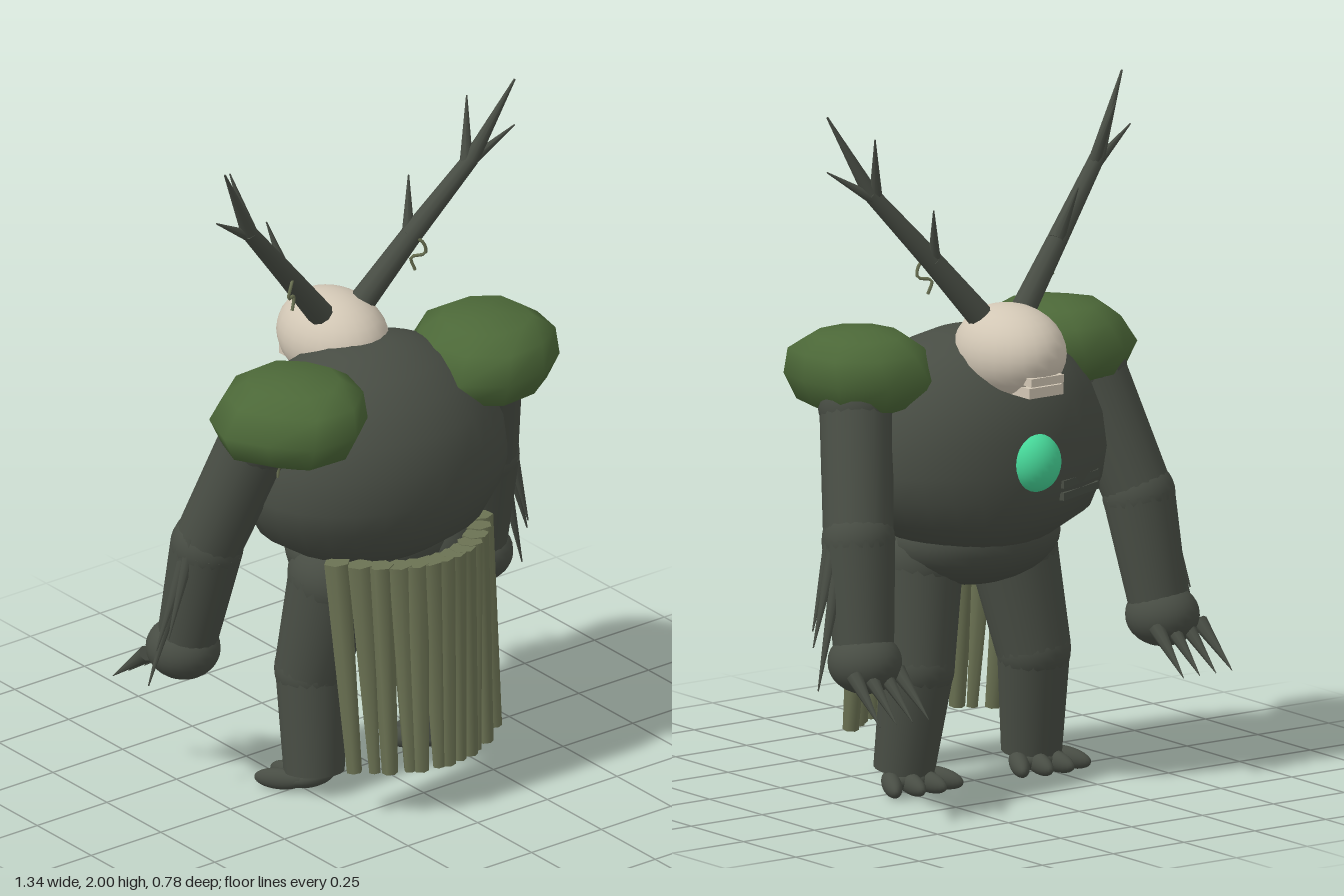
import * as THREE from 'three';

const mat = (name, color) => {
  const m = new THREE.MeshStandardMaterial({ color });
  m.name = name;
  return m;
};
const V = (p) => new THREE.Vector3(...p);

// Stacked elliptical rings [y, rx, rz, cx, cz], closed at both ends
function loft(rings, n, outline = () => 1) {
  const pos = [], idx = [];
  for (const [y, rx, rz, cx = 0, cz = 0] of rings) {
    for (let j = 0; j < n; j++) {
      const a = (j / n) * Math.PI * 2, w = outline(j);
      pos.push(cx + Math.cos(a) * rx * w, y, cz + Math.sin(a) * rz * w);
    }
  }
  const last = rings.length - 1, bottom = rings.length * n, top = bottom + 1;
  for (const r of [rings[0], rings[last]]) pos.push(r[3] || 0, r[0], r[4] || 0);
  for (let j = 0; j < n; j++) {
    const k = (j + 1) % n;
    for (let i = 0; i < last; i++) {
      const a = i * n + j, b = i * n + k;
      idx.push(a, a + n, b, b, a + n, b + n);
    }
    idx.push(bottom, j, k, top, last * n + k, last * n + j);
  }
  const g = new THREE.BufferGeometry();
  g.setAttribute('position', new THREE.Float32BufferAttribute(pos, 3));
  g.setIndex(idx);
  g.computeVertexNormals();
  return g;
}

export function createModel() {
  const model = new THREE.Group();
  model.name = 'antleredCreature';
  const hide = mat('darkHide', 0x484d44);
  const moss = mat('mossGreen', 0x4c6838);
  const strand = mat('driedMoss', 0x6b7253);
  const bone = mat('bone', 0xd2c7b5);
  const glow = mat('greenGem', 0x46d698);

  const add = (name, geo, material, parent = model) => {
    const m = new THREE.Mesh(geo, material);
    m.name = name;
    parent.add(m);
    return m;
  };
  const ball = (name, c, r, material, parent) => {
    const m = add(name, new THREE.SphereGeometry(1, 24, 16), material, parent);
    m.position.set(...c);
    m.scale.set(...r);
    return m;
  };
  // Tapered round bar from a to b
  const bar = (name, a, b, ra, rb, material, parent, sides = 18) => {
    const d = V(b).sub(V(a));
    const m = add(name, new THREE.CylinderGeometry(rb, ra, d.length(), sides), material, parent);
    m.position.copy(V(a)).addScaledVector(d, 0.5);
    m.quaternion.setFromUnitVectors(new THREE.Vector3(0, 1, 0), d.normalize());
    return m;
  };

  // Barrel torso and hips
  add('torso', loft([
    [0.67, 0.13, 0.12, 0, -0.01], [0.74, 0.26, 0.21], [0.80, 0.35, 0.29],
    [0.88, 0.4, 0.313, 0, 0.01], [0.95, 0.415, 0.325, 0, 0.015], [1.05, 0.4, 0.32, 0, 0.015],
    [1.14, 0.36, 0.295, 0, 0.01], [1.22, 0.3, 0.245, 0, 0.005], [1.28, 0.215, 0.18, 0, 0],
    [1.315, 0.13, 0.1, 0, 0], [1.325, 0.06, 0.05, 0, 0],
  ], 28), hide);
  ball('hips', [0, 0.72, 0], [0.27, 0.14, 0.19], hide);

  // Chest gem and ridges on one side
  ball('chestGem', [0, 0.98, -0.29], [0.078, 0.085, 0.068], glow);
  for (const y of [0.87, 0.905]) {
    const ridge = add('chestRidge', new THREE.BoxGeometry(0.19, 0.022, 0.04), hide);
    ridge.position.set(-0.17, y, -0.253);
    ridge.rotation.y = 0.38;
  }

  // Skull and jaws
  ball('skull', [0, 1.285, -0.17], [0.145, 0.135, 0.187], bone);
  [[1.227, 0.115, 0.024, -0.3], [1.195, 0.12, 0.03, -0.293]].forEach(([y, w, h, z]) => {
    const jaw = add('jaw', new THREE.BoxGeometry(w, h, 0.1), bone);
    jaw.position.set(0, y, z);
  });

  for (const s of [-1, 1]) {
    const m = ([x, y, z]) => [s * x, y, z];
    const side = s > 0 ? 'left' : 'right';
    const group = (name) => {
      const g = new THREE.Group();
      g.name = side + name;
      model.add(g);
      return g;
    };

    // Antler: main beam, tines and a hanging tendril
    const antler = group('Antler');
    const beam = [[0.075, 1.385, -0.13], [0.22, 1.56, -0.095], [0.4, 1.77, -0.045], [0.52, 2.0, 0]];
    const radii = [0.038, 0.031, 0.023, 0.003];
    for (let i = 0; i < 3; i++) {
      bar('antlerBeam', m(beam[i]), m(beam[i + 1]), radii[i], radii[i + 1], hide, antler, 10);
    }
    [
      [[0.37, 1.74, -0.055], [0.535, 1.845, -0.02], 0.02],
      [[0.385, 1.76, -0.05], [0.425, 1.94, -0.1], 0.019],
      [[0.215, 1.55, -0.1], [0.255, 1.72, -0.15], 0.02],
    ].forEach(([a, b, r]) => bar('tine', m(a), m(b), r, 0.002, hide, antler, 8));
    const curl = new THREE.CatmullRomCurve3([
      [0.2, 1.57, -0.09], [0.235, 1.55, -0.06], [0.245, 1.51, -0.06], [0.21, 1.5, -0.08], [0.22, 1.46, -0.075],
    ].map((p) => V(m(p))));
    add('tendril', new THREE.TubeGeometry(curl, 14, 0.005, 5), strand, antler);

    // Arm with elbow, forearm, hand
    const arm = group('Arm');
    bar('upperArm', m([0.41, 1.15, 0.01]), m([0.495, 0.79, -0.115]), 0.105, 0.1, hide, arm);
    ball('shoulder', m([0.41, 1.15, 0.01]), [0.11, 0.11, 0.11], hide, arm);
    ball('elbow', m([0.495, 0.79, -0.115]), [0.105, 0.105, 0.105], hide, arm);
    bar('forearm', m([0.495, 0.79, -0.115]), m([0.52, 0.48, -0.175]), 0.105, 0.086, hide, arm);
    ball('hand', m([0.525, 0.45, -0.187]), [0.105, 0.09, 0.11], hide, arm);
    for (let i = 0; i < 4; i++) {
      bar('claw', m([0.458 + i * 0.05, 0.43, -0.25]), m([0.45 + i * 0.057, 0.31, -0.39]), 0.024, 0.001, hide, arm, 8);
    }
    // Drooping forearm thorns
    [
      [[0.565, 0.84, -0.09], [0.645, 0.54, -0.1]],
      [[0.575, 0.78, -0.11], [0.665, 0.5, -0.13]],
      [[0.58, 0.7, -0.13], [0.67, 0.38, -0.16]],
    ].forEach(([a, b]) => bar('forearmThorn', m(a), m(b), 0.022, 0.002, hide, arm, 8));

    // Leg with knee and clawed foot
    const leg = group('Leg');
    ball('hipJoint', m([0.165, 0.66, 0.045]), [0.13, 0.13, 0.135], hide, leg);
    bar('thigh', m([0.165, 0.66, 0.045]), m([0.205, 0.36, -0.005]), 0.13, 0.107, hide, leg);
    ball('knee', m([0.205, 0.36, -0.005]), [0.107, 0.107, 0.107], hide, leg);
    bar('shin', m([0.205, 0.36, -0.005]), m([0.225, 0.06, 0.032]), 0.105, 0.088, hide, leg);
    ball('foot', m([0.225, 0.04, 0.005]), [0.088, 0.035, 0.065], hide, leg);
    for (let i = 0; i < 4; i++) {
      const t = i - 1.5;
      const toe = ball('toe', m([0.225 + t * 0.055, 0.035, -0.045 + Math.abs(t) * 0.016]),
        [0.027, 0.031, 0.08], hide, leg);
      toe.rotation.set(-0.12, -s * t * 0.3, 0, 'YXZ');
    }

    // Faceted moss shoulder pad with strands beneath
    const pad = group('ShoulderPad');
    const reach = s > 0
      ? [0.21, 0.225, 0.22, 0.235, 0.23, 0.215, 0.22, 0.235, 0.235, 0.235]
      : [0.225, 0.23, 0.24, 0.235, 0.2, 0.225, 0.22, 0.225, 0.235, 0.215];
    add('mossPad', loft([
      [1.11, 0.5, 0.5], [1.145, 0.84, 0.84], [1.22, 1, 1],
      [1.295, 0.87, 0.87, 0.022], [1.335, 0.6, 0.58, 0.02], [1.348, 0.2, 0.2, 0.01],
    ], 10, (j) => reach[j]), moss, pad).position.set(s > 0 ? 0.335 : -0.36, 0, 0.08);
    for (let i = 0; i < 4; i++) {
      const x = 0.27 + i * 0.06, z = 0.17 - i * 0.04;
      bar('padStrand', m([x, 1.16, z]), m([x + 0.01, 1.05, z]), 0.012, 0.004, strand, pad, 5);
    }
  }

  // Loincloth of tapered hanging strips along an arc
  const cloth = new THREE.Group();
  cloth.name = 'loincloth';
  model.add(cloth);
  const count = 13;
  for (let i = 0; i < count; i++) {
    const t = (i / (count - 1)) * 2 - 1;
    const drop = 0.333 - 0.155 * Math.pow(Math.abs(t), 2.2);
    const low = 0.368 - 0.12 * t * t;
    bar('clothStrip', [t * 0.256, 0.775, drop], [t * 0.247 + 0.008 * Math.sin(i * 2.7), 0.14, low],
      0.039, i % 2 ? 0.018 : 0.023, strand, cloth, 6);
  }
  return model;
}
